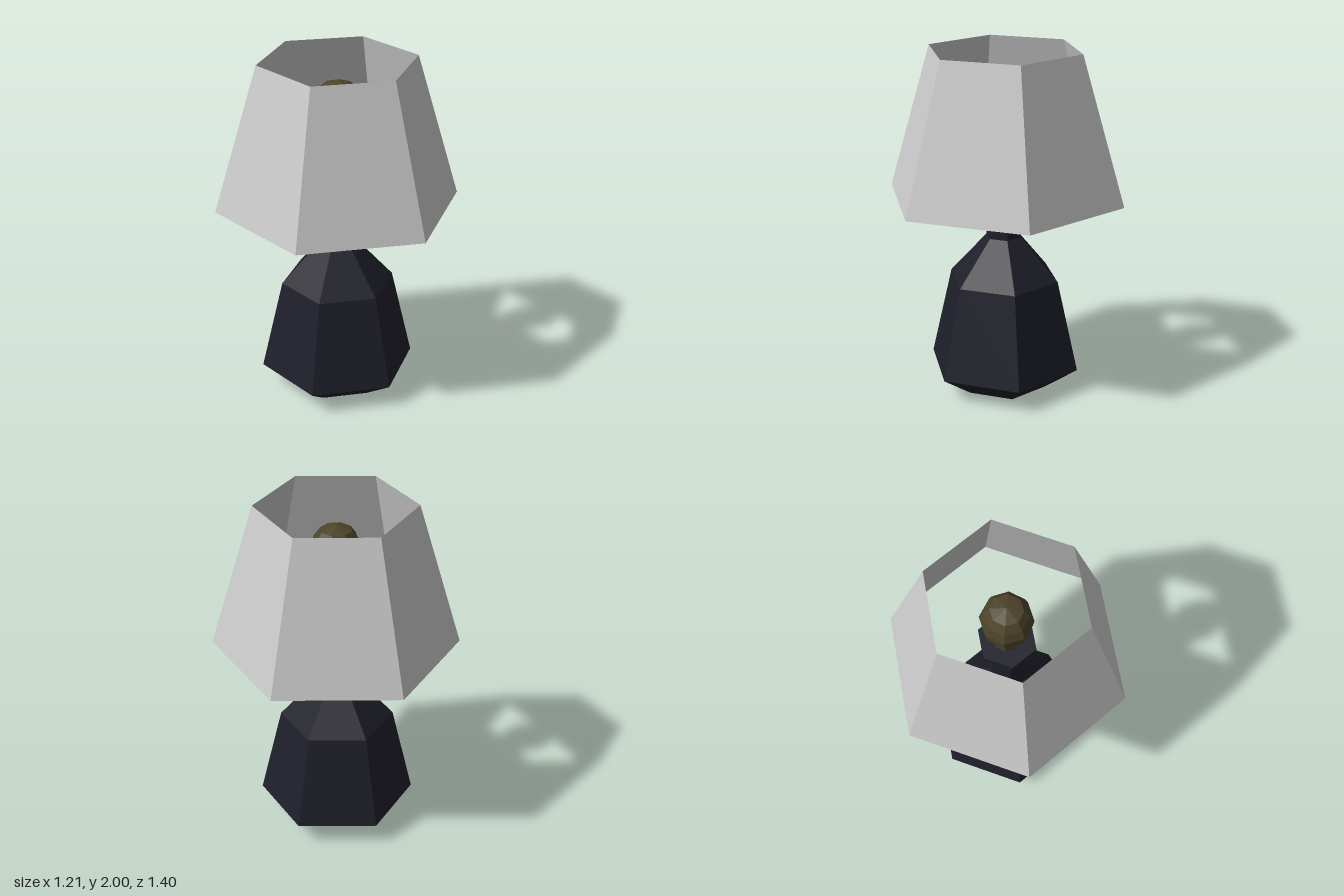
import * as THREE from 'three';

// Faceted surface of revolution from [radius, height] pairs
function turned(name, profile, sides, color, side = THREE.FrontSide) {
  const points = profile.map(([r, y]) => new THREE.Vector2(r, y));
  const material = new THREE.MeshStandardMaterial({ color, flatShading: true, side });
  const mesh = new THREE.Mesh(new THREE.LatheGeometry(points, sides), material);
  mesh.name = name;
  return mesh;
}

export function createModel() {
  const lamp = new THREE.Group();
  lamp.name = 'tableLamp';

  // Hexagonal base, neck and flared socket in one closed body
  const base = turned('base', [
    [0, 0], [0.26, 0], [0.452, 0.135], [0.327, 0.67], [0.105, 0.92],
    [0.105, 1.36], [0.167, 1.43], [0.167, 1.46], [0, 1.46],
  ], 6, 0x1f1f2a);
  base.position.x = -0.005;

  // Eight-sided bulb standing in the socket
  const bulb = turned('bulb', [
    [0, 1.45], [0.075, 1.45], [0.085, 1.54], [0.135, 1.66],
    [0.145, 1.74], [0.125, 1.81], [0.09, 1.86], [0, 1.887],
  ], 8, 0x4d4429);

  // Thin open shade
  const shade = turned('shade', [[0.7, 1.16], [0.448, 2]], 6, 0xcccccc, THREE.DoubleSide);

  lamp.add(base, bulb, shade);
  return lamp;
}
